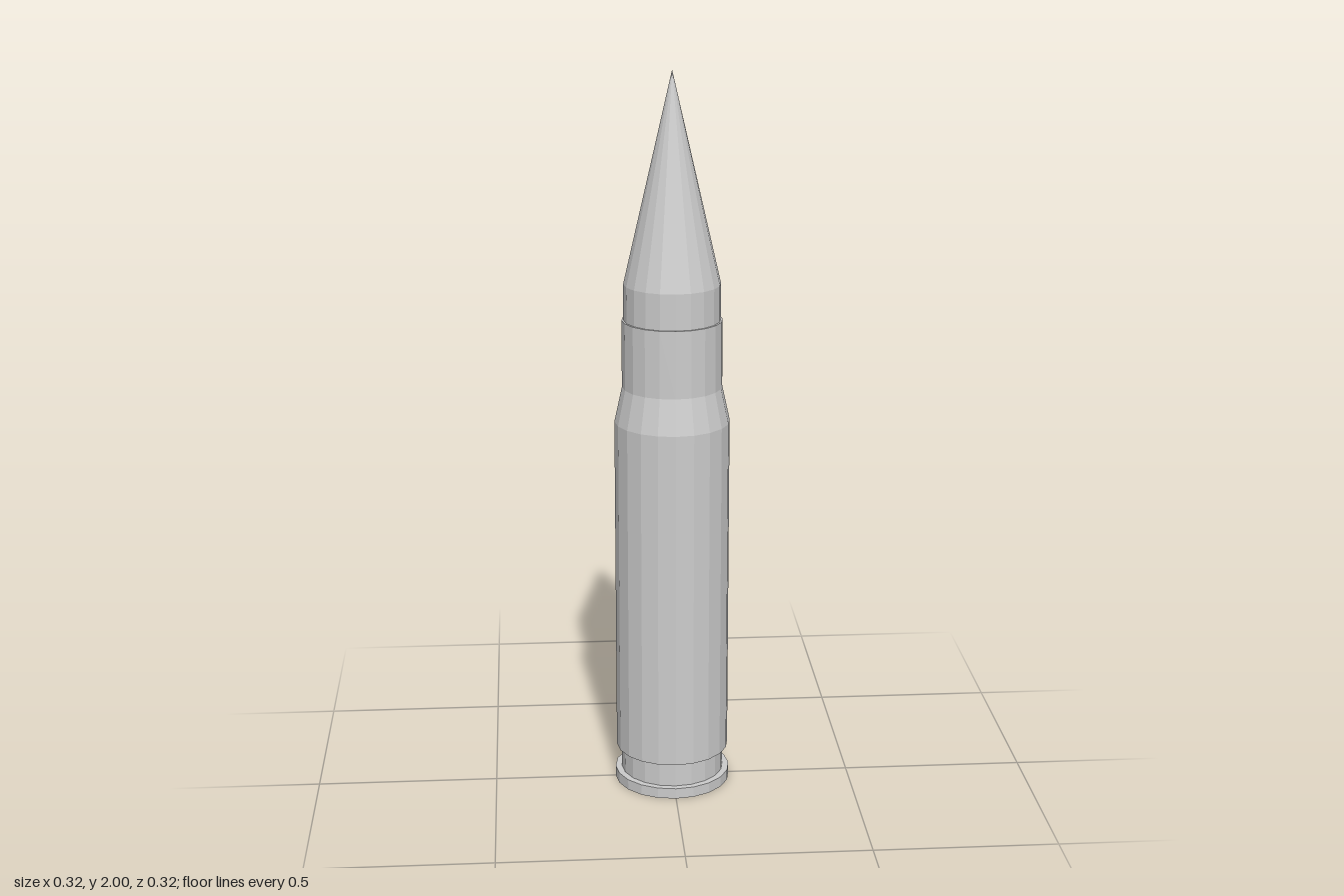
import * as THREE from 'three';

const SIDES = 20;

// Faceted turned part from [radius, height] pairs, listed bottom to top
function turned(name, profile) {
  const points = profile.map(([r, y]) => new THREE.Vector2(r, y));
  const material = new THREE.MeshStandardMaterial({ color: 0xcccccc, flatShading: true });
  const mesh = new THREE.Mesh(new THREE.LatheGeometry(points, SIDES), material);
  mesh.name = name;
  return mesh;
}

export function createModel() {
  const model = new THREE.Group();
  model.name = 'cartridge';

  // Flat base disc
  model.add(turned('rim', [[0, 0], [0.161, 0], [0.161, 0.03], [0.143, 0.03]]));

  // Recessed band between rim and case
  model.add(turned('extractorGroove', [[0.143, 0.03], [0.143, 0.1]]));

  // Straight body, sloping shoulder, neck and thin mouth lip
  model.add(turned('case', [
    [0.143, 0.1], [0.157, 0.1], [0.157, 1.053],
    [0.136, 1.15], [0.136, 1.335], [0.131, 1.335],
  ]));

  // Short cylinder seated in the neck, then a straight cone
  model.add(turned('bulletTip', [[0.131, 1.335], [0.131, 1.433], [0, 2]]));

  return model;
}
